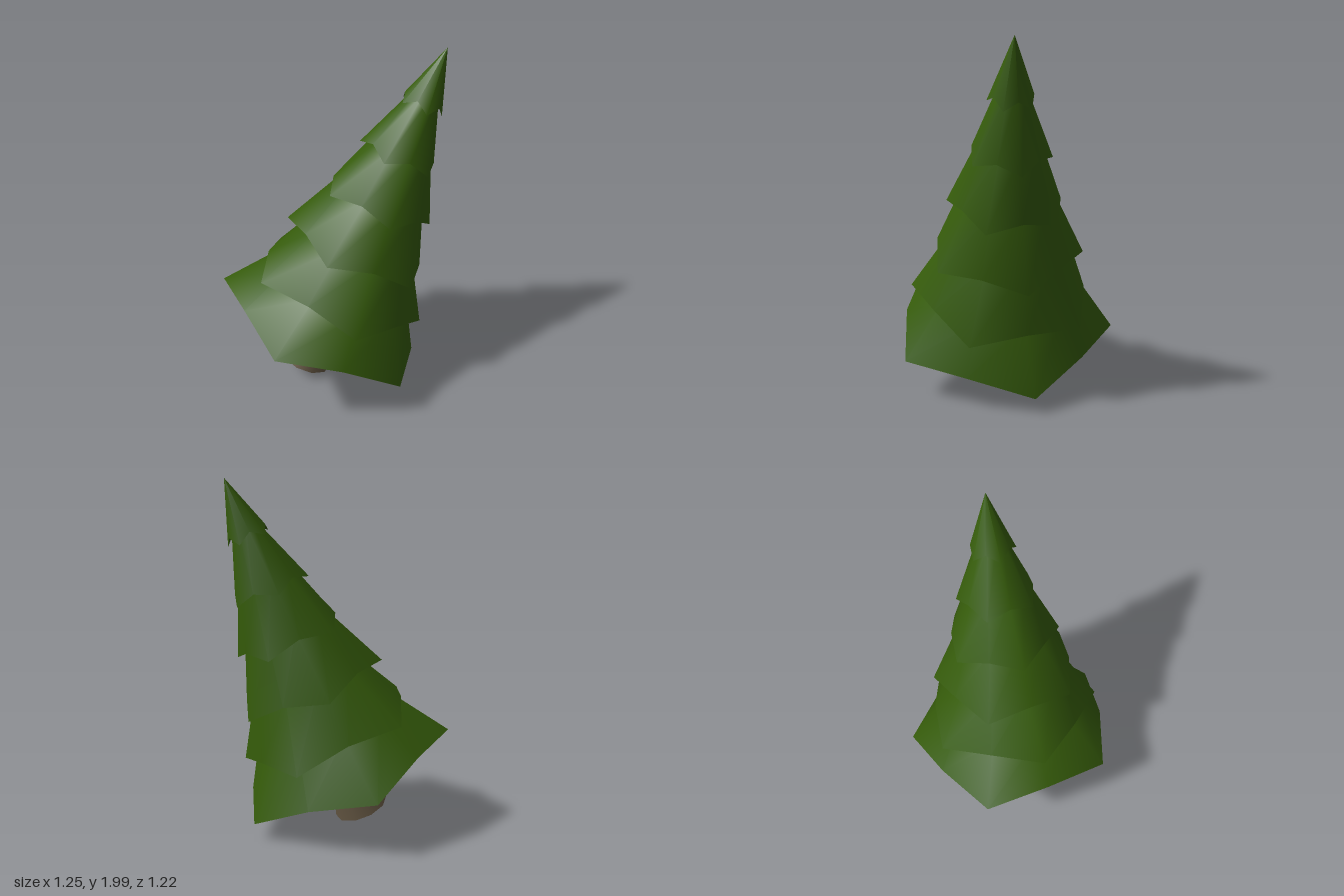
import * as THREE from 'three';

const SIDES = 10;

// Indexed surface between rings of equal length; shared vertices keep it smooth.
function loft(rings) {
  const positions = rings.flat(2);
  const index = [];
  for (let k = 0; k < rings.length - 1; k++) {
    for (let i = 0; i < SIDES; i++) {
      const j = (i + 1) % SIDES;
      const a = k * SIDES + i, b = k * SIDES + j;
      const c = a + SIDES, d = b + SIDES;
      index.push(a, c, b, b, c, d);
    }
  }
  const geometry = new THREE.BufferGeometry();
  geometry.setAttribute('position', new THREE.Float32BufferAttribute(positions, 3));
  geometry.setIndex(index);
  geometry.computeVertexNormals();
  return geometry;
}

// Ring whose even points are tips and odd points are drawn in and raised.
function ring(radius, y, turn, inset = 1, lift = 0) {
  return Array.from({ length: SIDES }, (_, i) => {
    const angle = turn + (i * Math.PI * 2) / SIDES;
    const r = i % 2 ? radius * inset : radius;
    return [r * Math.cos(angle), y + (i % 2 ? lift : 0), r * Math.sin(angle)];
  });
}

export function createModel() {
  const foliage = new THREE.MeshStandardMaterial({ color: 0x355b0a });
  foliage.name = 'foliage green';
  const bark = new THREE.MeshStandardMaterial({ color: 0x665844 });
  bark.name = 'bark brown';

  const tree = new THREE.Group();
  tree.name = 'leaningTree';
  const add = (geometry, material, name) => {
    const mesh = new THREE.Mesh(geometry, material);
    mesh.name = name;
    tree.add(mesh);
  };

  // Flared trunk with a flat base
  const trunkProfile = [[0.162, 0], [0.118, 0.165], [0.092, 0.31], [0.082, 0.52]];
  add(loft(trunkProfile.map(([r, y]) => ring(r, y, Math.PI / SIDES))), bark, 'trunk');
  const base = new THREE.CircleGeometry(0.162, SIDES, Math.PI / SIDES);
  base.rotateX(Math.PI / 2);
  add(base, bark, 'trunkBase');

  // Stacked skirts of branches: tip radius, tip height, top radius, top height;
  // every other one is turned by half a step
  const tiers = [
    [0.655, 0.297, 0.415, 0.62],
    [0.536, 0.54, 0.315, 0.92],
    [0.438, 0.838, 0.25, 1.22],
    [0.33, 1.14, 0.165, 1.52],
    [0.228, 1.438, 0.072, 1.826],
    [0.127, 1.746, 0, 2.096],
  ];
  tiers.forEach(([radius, y, topRadius, topY], k) => {
    const turn = THREE.MathUtils.degToRad(-13.1 + (k % 2) * 36);
    const rim = ring(radius, y, turn, 0.87, 0.047);
    add(loft([rim, ring(topRadius, topY, turn)]), foliage, `branchTier${k + 1}`);
    // Hollow underside
    add(loft([ring(0, y + 0.2, turn), rim]), foliage, `branchUnderside${k + 1}`);
  });

  // Lean the whole tree towards its left
  const foot = new THREE.Vector3(-0.185, 0.066, 0.043);
  const tip = new THREE.Vector3(0.622, 2, 0.015);
  tree.position.copy(foot);
  tree.quaternion.setFromUnitVectors(
    new THREE.Vector3(0, 1, 0), tip.clone().sub(foot).normalize());

  const model = new THREE.Group();
  model.name = 'model';
  model.add(tree);
  return model;
}
